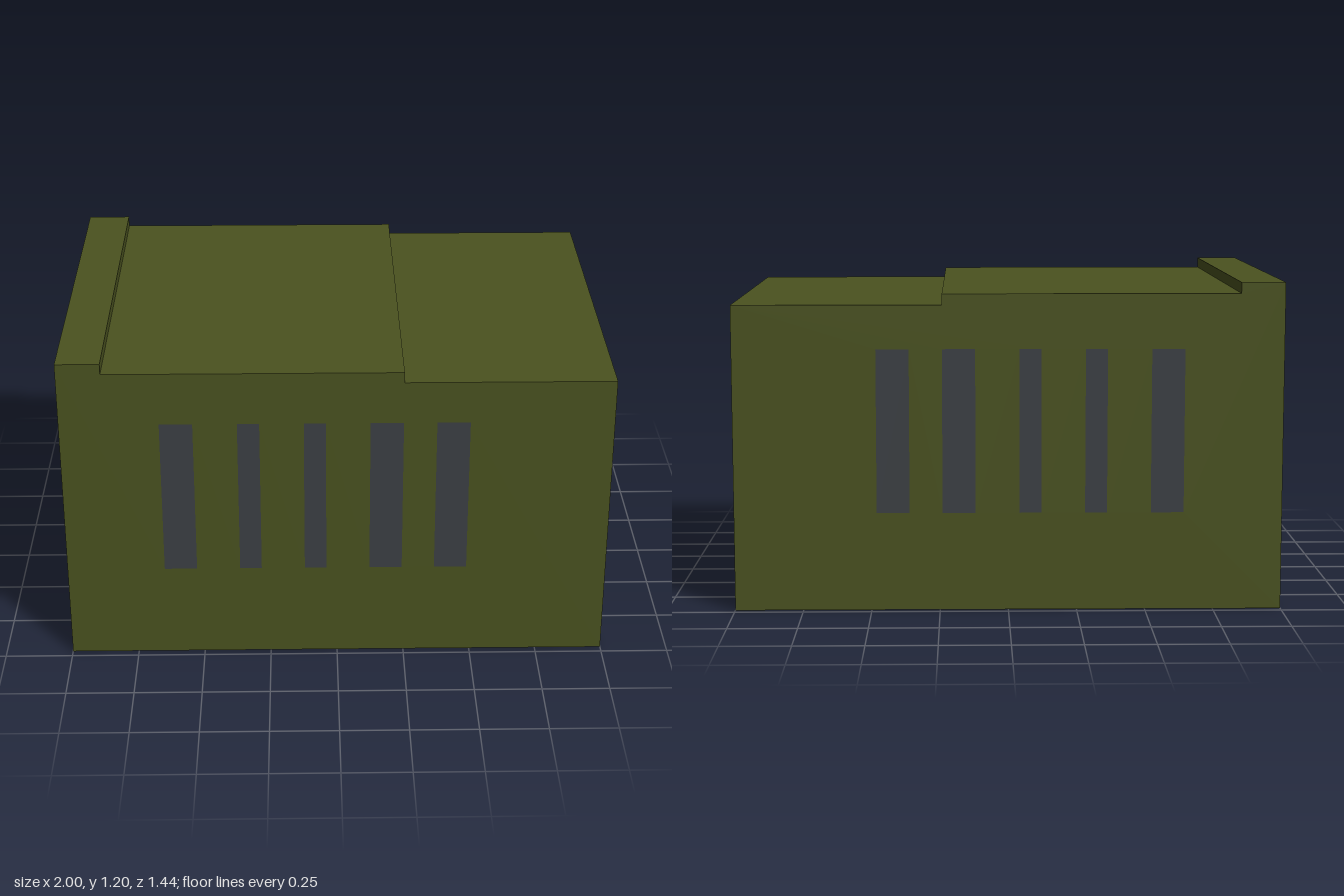
import * as THREE from 'three';

const HALF_DEPTH = 0.72, WALL = 0.04;
const WINDOW_BOTTOM = 0.36, WINDOW_TOP = 0.96;
const WINDOWS = [[-0.64, -0.52], [-0.36, -0.28], [-0.12, -0.04], [0.12, 0.24], [0.36, 0.48]];

// Stepped roof line, from the low end to the high end
const ROOF_TOP = [[1, 1.12], [0.24, 1.12], [0.24, 1.16], [-0.84, 1.16], [-0.84, 1.2], [-1, 1.2]];
const ROOF_UNDERSIDE = [[-1, 1.12], [-0.48, 1.12], [-0.48, 1.08], [0.6, 1.08], [0.6, 1.04], [1, 1.04]];

const toPoints = (list) => list.map(([x, y]) => new THREE.Vector2(x, y));

function extrude(shape, depth, z) {
  const geometry = new THREE.ExtrudeGeometry(shape, { depth, bevelEnabled: false });
  return geometry.translate(0, 0, z);
}

export function createModel() {
  const green = new THREE.MeshStandardMaterial({ color: 0x4b5320 });
  green.name = 'olive green';
  const grey = new THREE.MeshStandardMaterial({ color: 0x3c4045 });
  grey.name = 'dark window grey';

  const model = new THREE.Group();
  model.name = 'shelter';
  const add = (parent, name, geometry, material) => {
    const mesh = new THREE.Mesh(geometry, material);
    mesh.name = name;
    parent.add(mesh);
    return mesh;
  };

  // Stepped roof between the walls
  const roofShape = new THREE.Shape(toPoints([...ROOF_TOP, ...ROOF_UNDERSIDE]));
  add(model, 'roof', extrude(roofShape, 2 * (HALF_DEPTH - WALL), -HALF_DEPTH + WALL), green);

  // Side walls with window openings, each filled by a flush pane
  for (const [side, z] of [['front', HALF_DEPTH - WALL], ['back', -HALF_DEPTH]]) {
    const group = new THREE.Group();
    group.name = side + 'Side';
    model.add(group);

    const wallShape = new THREE.Shape(toPoints([[-1, 0], [1, 0], ...ROOF_TOP]));
    WINDOWS.forEach(([x0, x1], i) => {
      wallShape.holes.push(new THREE.Path(toPoints([
        [x0, WINDOW_BOTTOM], [x0, WINDOW_TOP], [x1, WINDOW_TOP], [x1, WINDOW_BOTTOM],
      ])));
      const pane = new THREE.BoxGeometry(x1 - x0, WINDOW_TOP - WINDOW_BOTTOM, WALL);
      add(group, side + 'Window' + (i + 1), pane, grey)
        .position.set((x0 + x1) / 2, (WINDOW_TOP + WINDOW_BOTTOM) / 2, z + WALL / 2);
    });
    add(group, side + 'Wall', extrude(wallShape, WALL, z), green);
  }
  return model;
}
